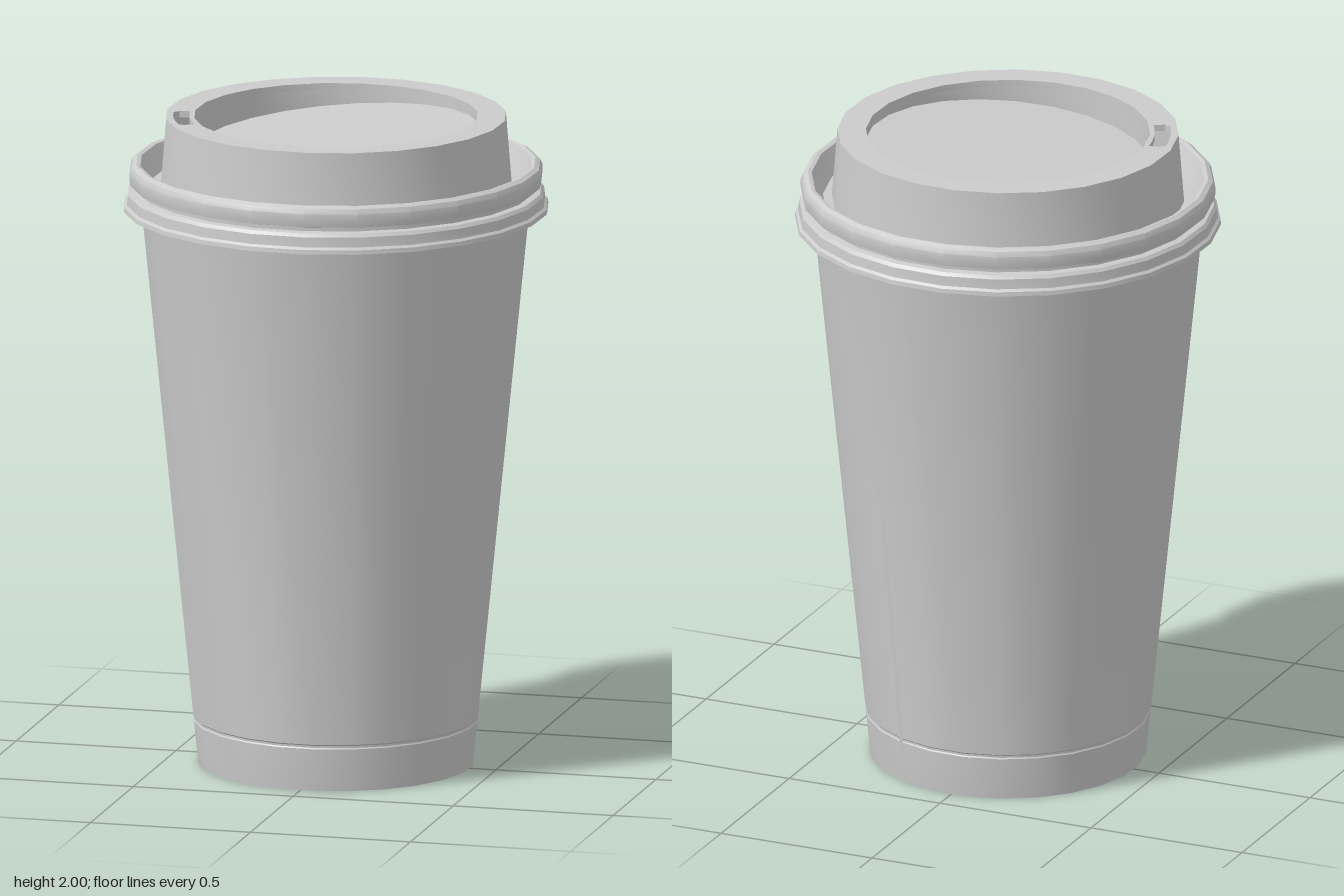
import * as THREE from 'three';
import { toCreasedNormals } from 'three/addons/utils/BufferGeometryUtils.js';

const SIDES = 24;
const rad = THREE.MathUtils.degToRad;
const PHASE = rad(6);
const material = new THREE.MeshStandardMaterial({ color: 0xcccccc, side: THREE.DoubleSide });

function addMesh(group, name, geometry) {
  const mesh = new THREE.Mesh(toCreasedNormals(geometry, 0.5), material);
  mesh.name = name;
  group.add(mesh);
  return mesh;
}

function lathe(points, segments = SIDES, start = PHASE, sweep = Math.PI * 2) {
  return new THREE.LatheGeometry(points.map(([r, y]) => new THREE.Vector2(r, y)), segments, start, sweep);
}

// Points on an arc seen from above (angle runs from +z towards +x)
function arc(r, from, to, n) {
  return Array.from({ length: n + 1 }, (_, i) => {
    const a = from + ((to - from) * i) / n;
    return new THREE.Vector2(r * Math.sin(a), -r * Math.cos(a));
  });
}
const ring = (r) => arc(r, PHASE, PHASE + Math.PI * 2, SIDES).slice(0, SIDES);

export function createModel() {
  const model = new THREE.Group();
  model.name = 'takeawayCup';

  // Tapered paper cup with a recessed base and a fine crease near the foot
  addMesh(model, 'cupBody', lathe([
    [0, 0.035], [0.383, 0.035], [0.385, 0], [0.418, 0], [0.4315, 0.132],
    [0.429, 0.136], [0.429, 0.142], [0.433, 0.146], [0.592, 1.74], [0.58, 1.76],
    [0.57, 1.74], [0.415, 0.06], [0, 0.06],
  ]));

  // Overlapping paper seam
  addMesh(model, 'cupSeam', lathe([[0.416, 0], [0.422, 0.001], [0.597, 1.73], [0.588, 1.73]],
    1, rad(155.6), rad(2)));

  const lid = new THREE.Group();
  lid.name = 'lid';
  model.add(lid);

  // Skirt, snap groove, rounded bead, channel and raised wall
  addMesh(lid, 'lidShell', lathe([
    [0.59, 1.735], [0.625, 1.715], [0.645, 1.715], [0.643, 1.728], [0.635, 1.735],
    [0.632, 1.765], [0.624, 1.775], [0.604, 1.778], [0.604, 1.79], [0.624, 1.795],
    [0.627, 1.81], [0.627, 1.835], [0.62, 1.85], [0.606, 1.858], [0.594, 1.855],
    [0.578, 1.82], [0.56, 1.785], [0.533, 1.785], [0.516, 2],
  ]));

  // Flat drinking rim with a curved sip slot
  const rim = new THREE.Shape(ring(0.516));
  rim.holes.push(new THREE.Path(ring(0.43)));
  const a = rad(-81.5), b = rad(-59);
  rim.holes.push(new THREE.Path([
    ...arc(0.443, a, b, 4), ...arc(0.478, b, b, 0 || 1).slice(0, 1),
    ...arc(0.492, b - 0.03, a + 0.03, 4), ...arc(0.475, a, a, 1).slice(0, 1),
  ]));
  const rimGeometry = new THREE.ExtrudeGeometry(rim, { depth: 0.02, bevelEnabled: false });
  rimGeometry.rotateX(-Math.PI / 2).translate(0, 1.98, 0);
  addMesh(lid, 'drinkingRim', rimGeometry);

  // Sunken well whose floor slopes down towards the sip slot
  const well = lathe([[0.43, 1.98], [0.43, 1.93], [0, 1.93]]);
  const p = well.attributes.position;
  for (let i = 0; i < p.count; i++) {
    if (p.getY(i) < 1.95) p.setY(i, 1.93 + 0.085 * (p.getX(i) * 0.94 - p.getZ(i) * 0.34));
  }
  addMesh(lid, 'lidWell', well);

  return model;
}
